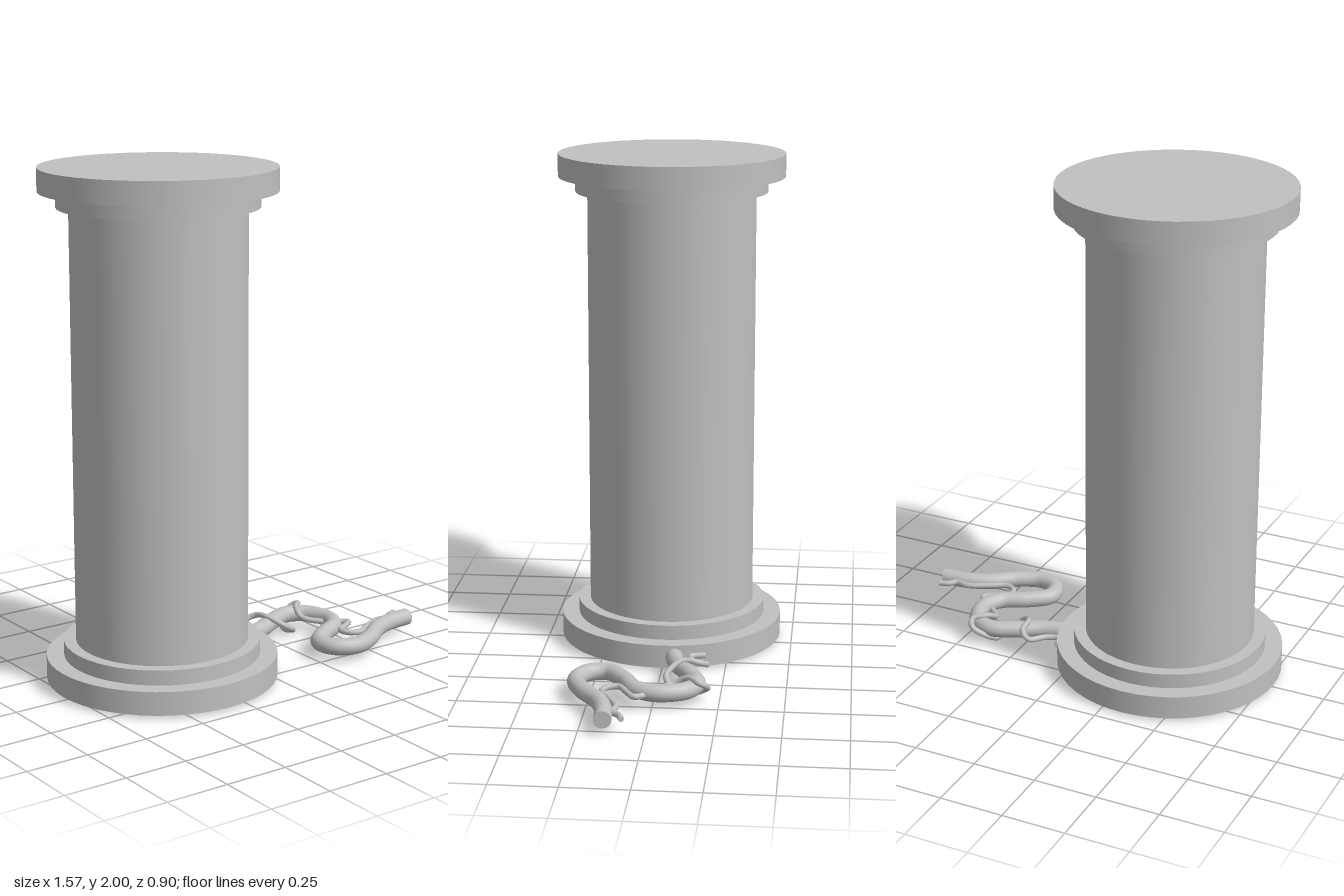
import * as THREE from 'three';

export function createModel() {
  const model = new THREE.Group();
  const grey = new THREE.MeshStandardMaterial({ color: 0xc0c0c0 });
  grey.name = 'light grey';

  const add = (name, geometry) => {
    const mesh = new THREE.Mesh(geometry, grey);
    mesh.name = name;
    model.add(mesh);
    return mesh;
  };

  // Column: stacked discs and shaft [name, radius, bottom, top]
  const column = [
    ['basePlate', 0.45, 0.015, 0.108],
    ['baseRing', 0.382, 0.108, 0.167],
    ['shaft', 0.335, 0.167, 1.85],
    ['topRing', 0.382, 1.85, 1.91],
    ['topPlate', 0.45, 1.91, 2.0],
  ];
  for (const [name, r, y0, y1] of column) {
    add(name, new THREE.CylinderGeometry(r, r, y1 - y0, 48))
      .position.set(-0.34, (y0 + y1) / 2, 0);
  }

  // Cables: swept tubes with flat end discs
  const addCable = (name, points, radius, segments, sides) => {
    const curve = new THREE.CatmullRomCurve3(points.map(p => new THREE.Vector3(...p)));
    add(name, new THREE.TubeGeometry(curve, segments, radius, sides));
    for (const t of [0, 1]) {
      const cap = add(name + 'End', new THREE.CircleGeometry(radius, sides));
      const out = curve.getTangentAt(t).multiplyScalar(t ? 1 : -1);
      cap.position.copy(curve.getPointAt(t));
      cap.quaternion.setFromUnitVectors(new THREE.Vector3(0, 0, 1), out);
    }
  };

  // Thick cable lies flat at one height
  const thick = [
    [0.06, -0.05], [0.12, -0.052], [0.19, -0.07], [0.3, -0.13], [0.39, -0.162],
    [0.465, -0.125], [0.5, -0.02], [0.465, 0.065], [0.37, 0.12], [0.293, 0.19],
    [0.31, 0.267], [0.39, 0.303], [0.485, 0.27], [0.59, 0.195], [0.675, 0.165],
    [0.78, 0.155],
  ].map(([x, z]) => [x, 0.063, z]);
  addCable('thickCable', thick, 0.034, 120, 16);

  // Thin wire winds over and under the thick cable
  addCable('thinWire', [
    [0.08, 0.063, -0.17], [0.1, 0.063, -0.115], [0.15, 0.063, -0.13],
    [0.2, 0.07, -0.187], [0.238, 0.09, -0.165], [0.245, 0.1, -0.095],
    [0.305, 0.06, -0.037], [0.355, 0.03, -0.065], [0.362, 0.016, -0.14],
    [0.4, 0.045, -0.193], [0.448, 0.075, -0.205], [0.463, 0.095, -0.175],
    [0.42, 0.098, -0.13], [0.41, 0.07, -0.075], [0.465, 0.06, -0.01],
    [0.52, 0.06, 0.03], [0.543, 0.063, 0.065], [0.505, 0.065, 0.095],
    [0.45, 0.065, 0.13], [0.458, 0.065, 0.17], [0.5, 0.065, 0.19],
    [0.57, 0.065, 0.155], [0.65, 0.065, 0.12], [0.705, 0.065, 0.127],
    [0.732, 0.065, 0.1], [0.77, 0.065, 0.087],
  ], 0.012, 180, 8);

  return model;
}
